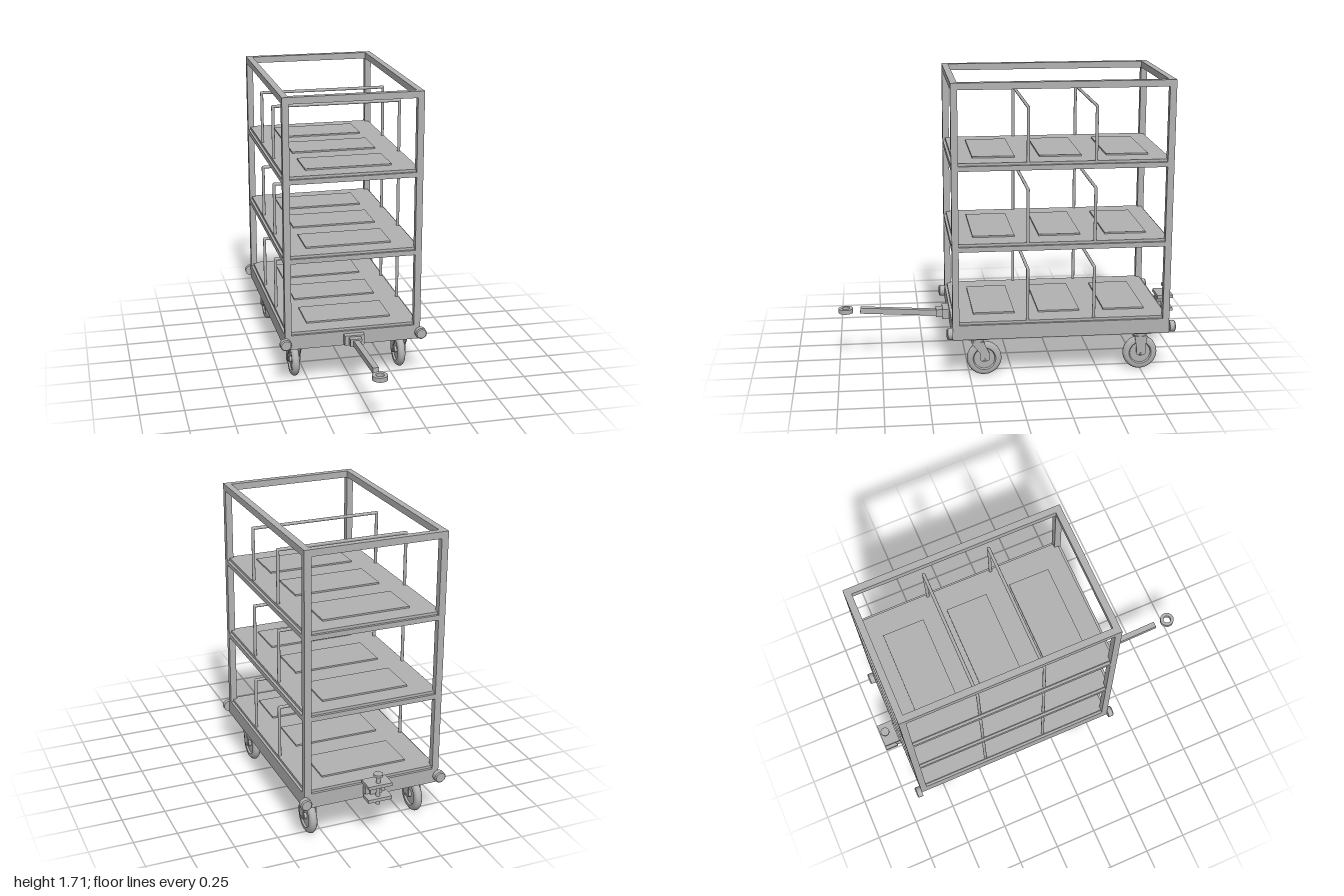
import * as THREE from 'three';

export function createModel() {
  const root = new THREE.Group();
  root.name = 'shelfTrolley';
  const grey = new THREE.MeshStandardMaterial({ color: 0xb2b2b2 });
  grey.name = 'steel grey';

  const add = (parent, name, geo, x = 0, y = 0, z = 0) => {
    const m = new THREE.Mesh(geo, grey);
    m.name = name;
    m.position.set(x, y, z);
    parent.add(m);
    return m;
  };
  // box given by its limits on each axis
  const block = (parent, name, x0, x1, y0, y1, z0, z1) =>
    add(parent, name, new THREE.BoxGeometry(x1 - x0, y1 - y0, z1 - z0),
      (x0 + x1) / 2, (y0 + y1) / 2, (z0 + z1) / 2);
  const cyl = (r, h, n = 24) => new THREE.CylinderGeometry(r, r, h, n);

  const X = 0.4, F = 0.35, B = -0.9, T = 0.038, TOP = 1.71;

  // rectangular ring of four rails
  const ring = (name, y0, y1) => {
    const g = new THREE.Group();
    g.name = name;
    for (const s of [-1, 1]) block(g, 'sideRail', s * X - (s > 0 ? T : 0), s * X + (s < 0 ? T : 0), y0, y1, B, F);
    block(g, 'frontRail', -X + T, X - T, y0, y1, F - T, F);
    block(g, 'backRail', -X + T, X - T, y0, y1, B, B + T);
    root.add(g);
  };
  ring('baseFrame', 0.24, 0.326);
  ring('topFrame', TOP - T, TOP);
  ring('middleShelfFrame', 0.758, 0.786);
  ring('upperShelfFrame', 1.22, 1.248);
  block(root, 'baseCrossBeam', -X + T, X - T, 0.25, 0.326, -0.305, -0.245);

  // corner posts and bumpers
  for (const s of [-1, 1]) {
    for (const [z, dir] of [[F, 1], [B, -1]]) {
      const px = s * (X - T / 2);
      block(root, 'cornerPost', px - T / 2, px + T / 2, 0.326, TOP - T,
        dir > 0 ? F - T : B, dir > 0 ? F : B + T);
      const bumper = add(root, 'cornerBumper', new THREE.LatheGeometry([
        [0, -0.017], [0.033, -0.017], [0.033, -0.017], [0.033, 0.011], [0.033, 0.011], [0.027, 0.017], [0.027, 0.017], [0, 0.017],
      ].map(p => new THREE.Vector2(...p)), 24), s * X, 0.28, z + dir * 0.017);
      bumper.rotation.x = dir * Math.PI / 2;
    }
  }

  // shelves with thin mats and hoop dividers
  for (const [y, top] of [[0.326, 0.652], [0.786, 1.114], [1.248, 1.576]]) {
    const shelf = new THREE.Group();
    shelf.name = 'shelf';
    root.add(shelf);
    block(shelf, 'shelfPanel', -0.385, 0.385, y, y + 0.015, -0.885, 0.335);
    for (const z of [-0.66, -0.278, 0.102]) block(shelf, 'shelfMat', -0.25, 0.25, y + 0.015, y + 0.024, z - 0.12, z + 0.12);
    for (const z of [-0.08, -0.462]) {
      const r = 0.009, hx = 0.375, h = top - r - y;
      add(shelf, 'dividerBar', cyl(r, hx * 2, 12), 0, top - r, z).rotation.z = Math.PI / 2;
      for (const s of [-1, 1]) {
        add(shelf, 'dividerLeg', cyl(r, h, 12), s * hx, y + h / 2, z);
        add(shelf, 'dividerCorner', new THREE.SphereGeometry(r, 12, 8), s * hx, top - r, z);
      }
    }
  }

  // wheel profile: radius, distance along the axle
  const half = [[0, 0.026], [0.018, 0.026], [0.018, 0.026], [0.018, 0.012], [0.018, 0.012], [0.06, 0.012],
    [0.06, 0.012], [0.066, 0.022], [0.066, 0.022], [0.085, 0.022], [0.094, 0.015], [0.1, 0.005]];
  const profile = [...half.map(([r, a]) => [r, -a]), ...half.slice().reverse()].map(p => new THREE.Vector2(...p));
  const wheelGeo = new THREE.LatheGeometry(profile, 36);

  // fork cheek: tapered plate with a round lower end
  const cheek = (dz) => {
    const s = new THREE.Shape();
    s.moveTo(dz - 0.036, 0.2);
    s.lineTo(-0.027, 0.14);
    s.lineTo(-0.027, 0.1);
    s.lineTo(-0.02, 0.092);
    s.lineTo(0.02, 0.092);
    s.lineTo(0.027, 0.1);
    s.lineTo(0.027, 0.14);
    s.lineTo(dz + 0.036, 0.2);
    const g = new THREE.ExtrudeGeometry(s, { depth: 0.006, bevelEnabled: false });
    g.translate(0, 0, -0.003);
    g.rotateY(-Math.PI / 2);
    return g;
  };

  // casters: the front pair trails its swivel
  for (const x of [-0.32, 0.32]) {
    for (const [z, dz, name] of [[0.165, 0.038, 'frontCaster'], [-0.748, 0, 'rearCaster']]) {
      const c = new THREE.Group();
      c.name = name;
      c.position.set(x, 0, z);
      root.add(c);
      add(c, 'wheel', wheelGeo, 0, 0.1, 0).rotation.z = Math.PI / 2;
      add(c, 'axle', cyl(0.007, 0.086, 12), 0, 0.1, 0).rotation.z = Math.PI / 2;
      for (const s of [-1, 1]) add(c, 'forkCheek', cheek(dz), s * 0.036, 0, 0);
      block(c, 'forkCrown', -0.039, 0.039, 0.2, 0.207, dz - 0.036, dz + 0.036);
      add(c, 'swivel', cyl(0.038, 0.022), 0, 0.217, dz);
      block(c, 'mountPlate', -0.056, 0.056, 0.228, 0.24, dz - 0.056, dz + 0.056);
    }
  }

  // tow bar with an eye at the end
  const tow = new THREE.Group();
  tow.name = 'towBar';
  root.add(tow);
  block(tow, 'towMount', -0.058, 0.058, 0.25, 0.31, F, 0.387);
  block(tow, 'towSocket', -0.034, 0.034, 0.256, 0.302, 0.387, 0.425);
  const a = new THREE.Vector3(0, 0.275, 0.4), b = new THREE.Vector3(0, 0.306, 0.872);
  const bar = add(tow, 'drawbar', new THREE.BoxGeometry(0.034, 0.034, a.distanceTo(b)));
  bar.position.copy(a).lerp(b, 0.5);
  bar.rotation.x = -Math.atan2(b.y - a.y, b.z - a.z);
  const eye = new THREE.Shape().absarc(0, 0, 0.043, 0, Math.PI * 2);
  eye.holes.push(new THREE.Path().absarc(0, 0, 0.023, 0, Math.PI * 2, true));
  const eyeGeo = new THREE.ExtrudeGeometry(eye, { depth: 0.026, bevelEnabled: false, curveSegments: 20 });
  add(tow, 'towEye', eyeGeo, 0, 0.32, 0.957).rotation.x = Math.PI / 2;

  // rear coupling: two plates joined by a drop pin
  const hitch = new THREE.Group();
  hitch.name = 'rearCoupling';
  root.add(hitch);
  block(hitch, 'couplingMount', -0.058, 0.058, 0.247, 0.314, -0.932, B);
  block(hitch, 'couplingWeb', -0.034, 0.034, 0.265, 0.34, -0.945, -0.91);
  block(hitch, 'upperPlate', -0.07, 0.07, 0.337, 0.356, -1, -0.905);
  block(hitch, 'lowerPlate', -0.07, 0.07, 0.256, 0.275, -1, -0.925);
  add(hitch, 'dropPin', cyl(0.012, 0.178, 16), 0, 0.314, -0.968);
  add(hitch, 'pinHead', cyl(0.026, 0.014), 0, 0.403, -0.968);

  return root;
}
